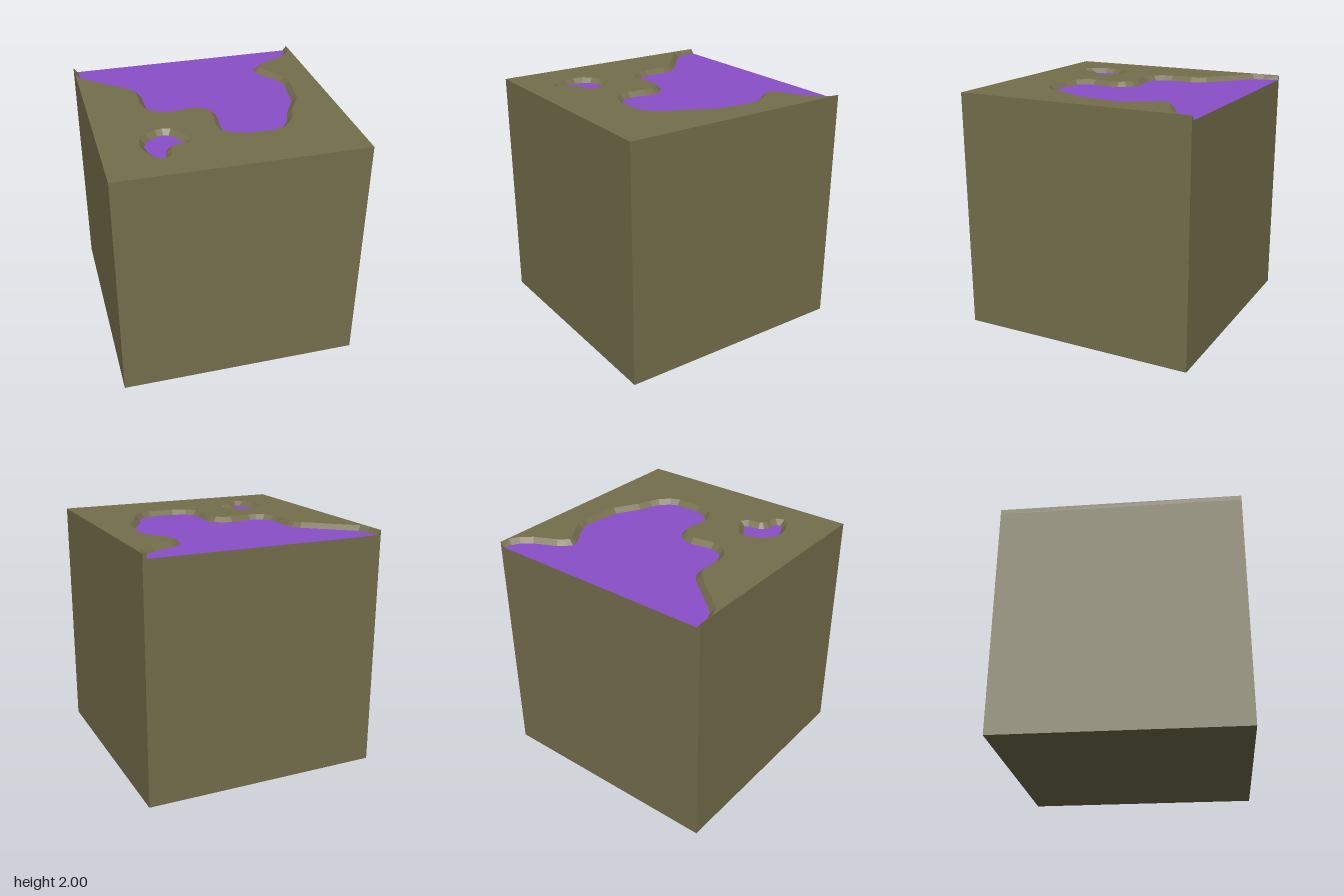
import * as THREE from 'three';

const TOP = 2, DEPTH = 0.04, BANK = 0.04;

// Waterline of the large pool, from the back left edge round to the back right edge (x, z)
const LAKE = [
  [-0.97, -1], [-0.96, -0.87], [-0.93, -0.79], [-0.89, -0.755], [-0.57, -0.48], [-0.525, -0.415],
  [-0.51, -0.345], [-0.515, -0.16], [-0.5, -0.09], [-0.46, -0.03], [-0.41, 0], [-0.355, 0.01],
  [-0.17, -0.02], [-0.09, -0.005], [-0.025, 0.045], [0.01, 0.11], [0.01, 0.2], [-0.01, 0.35],
  [0.005, 0.42], [0.06, 0.475], [0.165, 0.51], [0.375, 0.51], [0.44, 0.485], [0.505, 0.415],
  [0.54, 0.35], [0.58, 0.235], [0.69, 0.04], [0.73, -0.265], [0.715, -0.345], [0.675, -0.415],
  [0.565, -0.575], [0.56, -0.63], [0.595, -0.675], [0.65, -0.72], [0.835, -0.805], [0.915, -0.87],
  [0.95, -0.935], [0.965, -1],
];

// Waterline of the small puddle, a closed loop in the same turning direction
const PUDDLE = [
  [-0.59, 0.395], [-0.635, 0.445], [-0.65, 0.51], [-0.64, 0.58], [-0.595, 0.69], [-0.56, 0.72],
  [-0.53, 0.71], [-0.515, 0.67], [-0.51, 0.62], [-0.49, 0.575], [-0.45, 0.55], [-0.355, 0.54],
  [-0.335, 0.515], [-0.35, 0.48], [-0.43, 0.36], [-0.475, 0.35], [-0.52, 0.36],
];

const CORNERS = [[1, -1], [1, 1], [-1, 1], [-1, -1]];

// Moves a waterline outwards by the bank width, with mitred joints
function offset(path, closed) {
  const n = path.length;
  const normal = (a, b) => {
    const dx = b[0] - a[0], dz = b[1] - a[1], l = Math.hypot(dx, dz);
    return [-dz / l, dx / l];
  };
  return path.map((p, i) => {
    let m;
    if (!closed && i === 0) m = [-1, 0];
    else if (!closed && i === n - 1) m = [1, 0];
    else {
      const a = normal(path[(i + n - 1) % n], p), b = normal(p, path[(i + 1) % n]);
      const k = 1 + a[0] * b[0] + a[1] * b[1];
      m = [(a[0] + b[0]) / k, (a[1] + b[1]) / k];
    }
    return [THREE.MathUtils.clamp(p[0] + m[0] * BANK, -0.998, 0.998), p[1] + m[1] * BANK];
  });
}

// Flat-faced strip joining a low ring to a high ring
function wall(low, high) {
  const pos = [];
  low.forEach((a, i) => {
    const j = (i + 1) % low.length;
    const a0 = [a[0], TOP - DEPTH, a[1]], b0 = [low[j][0], TOP - DEPTH, low[j][1]];
    const a1 = [high[i][0], TOP, high[i][1]], b1 = [high[j][0], TOP, high[j][1]];
    pos.push(...b0, ...a0, ...a1, ...b0, ...a1, ...b1);
  });
  const g = new THREE.BufferGeometry();
  g.setAttribute('position', new THREE.Float32BufferAttribute(pos, 3));
  g.computeVertexNormals();
  return g;
}

export function createModel() {
  const group = new THREE.Group();
  const earth = new THREE.MeshStandardMaterial({ color: 0x746e4b });
  earth.name = 'olive earth';
  const liquid = new THREE.MeshStandardMaterial({ color: 0x894fca });
  liquid.name = 'purple liquid';

  const add = (name, geometry, material) => {
    const mesh = new THREE.Mesh(geometry, material);
    mesh.name = name;
    group.add(mesh);
    return mesh;
  };

  // Main block; its upper face is the liquid surface
  const h = TOP - DEPTH;
  add('block', new THREE.BoxGeometry(2, h, 2), [earth, earth, liquid, earth, earth, earth])
    .position.y = h / 2;

  // Raised ground with the pools cut out
  const lakeRim = offset(LAKE, false), puddleRim = offset(PUDDLE, true);
  const flat = (pts) => pts.map(([x, z]) => new THREE.Vector2(x, -z));
  const shape = new THREE.Shape(flat([...lakeRim, ...CORNERS]));
  shape.holes.push(new THREE.Path(flat(puddleRim)));
  add('ground', new THREE.ShapeGeometry(shape).rotateX(-Math.PI / 2).translate(0, TOP, 0), earth);

  // Sloping banks, and the outer sides of the raised ground
  add('lakeBankAndEdge', wall([...LAKE, ...CORNERS], [...lakeRim, ...CORNERS]), earth);
  add('puddleBank', wall(PUDDLE, puddleRim), earth);

  return group;
}
